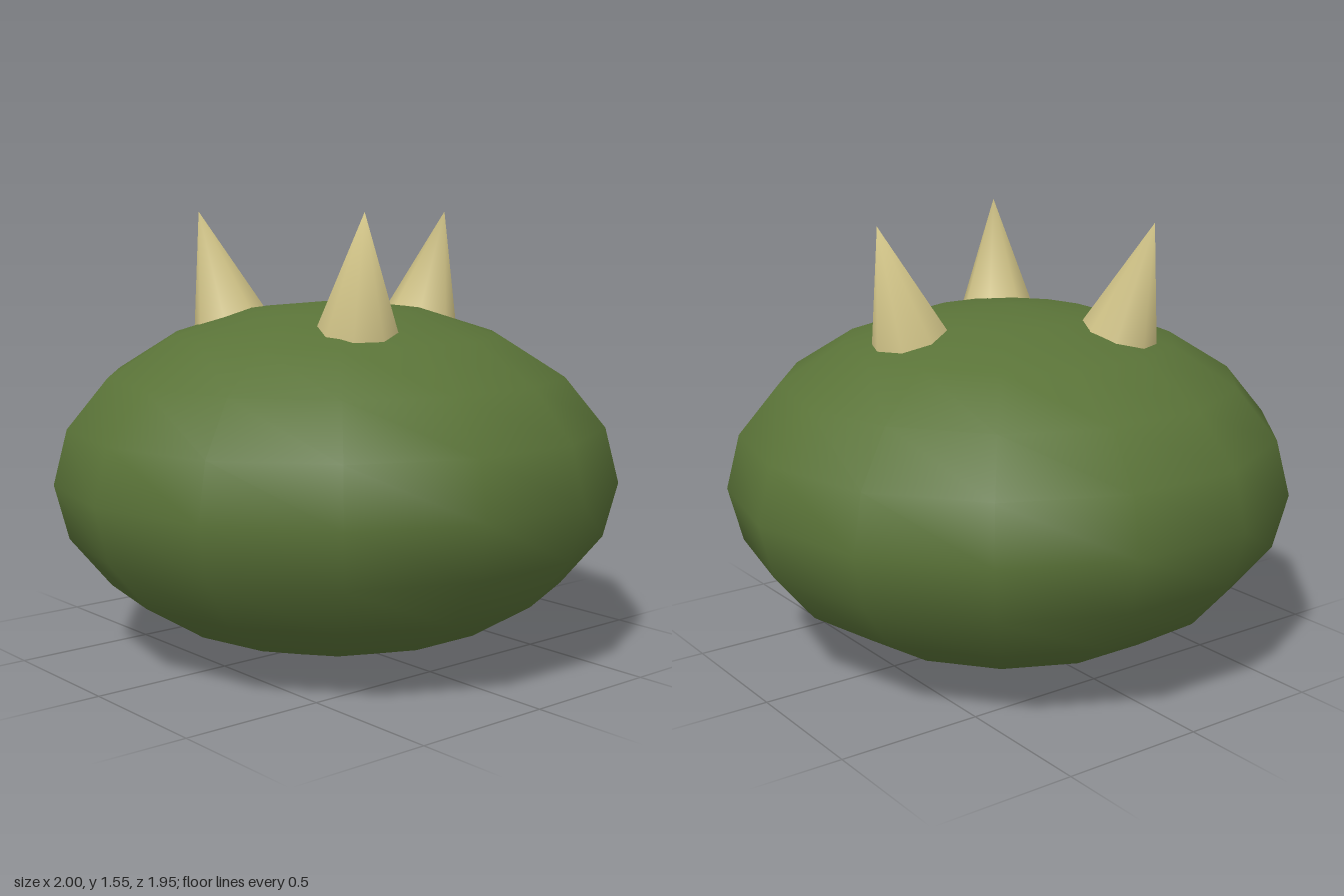
import * as THREE from 'three';
import { mergeVertices } from 'three/addons/utils/BufferGeometryUtils.js';

const green = new THREE.MeshStandardMaterial({ color: 0x5a7338 });
green.name = 'mossGreen';
const bone = new THREE.MeshStandardMaterial({ color: 0xcdc085 });
bone.name = 'boneYellow';

const TILT = 0.3;          // outward lean of each horn
const HORN_HEIGHT = 0.45;
const TIP_RADIUS = 0.53;   // distance of the tips from the vertical axis
const TIP_Y = 1.55;

// Eight-sided cone with its tip at the origin and one shared, smooth apex
function hornGeometry() {
  const cone = new THREE.ConeGeometry(0.151, HORN_HEIGHT, 8, 1, true);
  cone.translate(0, -HORN_HEIGHT / 2, 0);
  cone.deleteAttribute('uv');
  cone.deleteAttribute('normal');
  const merged = mergeVertices(cone, 1e-4);
  merged.computeVertexNormals();
  return merged;
}

export function createModel() {
  const model = new THREE.Group();
  model.name = 'hornedBlob';

  // Flattened round body
  const bodyGeometry = new THREE.SphereGeometry(1, 14, 10);
  bodyGeometry.scale(1, 0.62, 1);
  const body = new THREE.Mesh(bodyGeometry, green);
  body.name = 'body';
  body.position.y = 0.62;
  model.add(body);

  // Three horns spaced evenly around the top, leaning outward
  const geometry = hornGeometry();
  for (let i = 0; i < 3; i++) {
    const angle = (i * Math.PI * 2) / 3;
    const c = Math.cos(angle), s = Math.sin(angle);
    const horn = new THREE.Mesh(geometry, bone);
    horn.name = `horn${i + 1}`;
    horn.position.set(c * TIP_RADIUS, TIP_Y, s * TIP_RADIUS);
    horn.rotation.set(s * TILT, 0, -c * TILT);
    model.add(horn);
  }
  return model;
}
